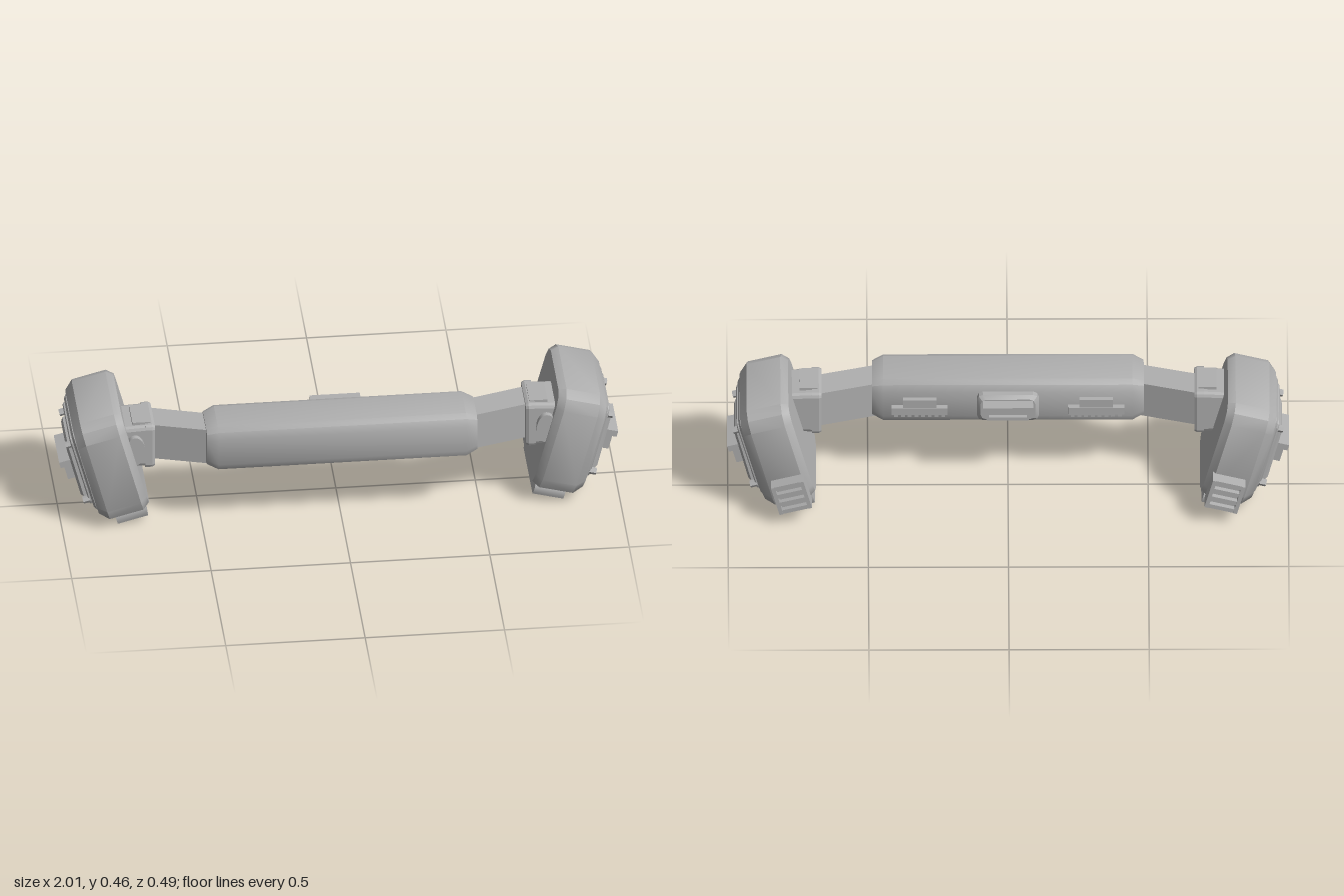
import * as THREE from 'three';
import { toCreasedNormals } from 'three/addons/utils/BufferGeometryUtils.js';

const grey = new THREE.MeshStandardMaterial({ color: 0xb0b0b0 });
grey.name = 'plain grey';

function add(parent, name, geometry, x = 0, y = 0, z = 0) {
  const mesh = new THREE.Mesh(geometry, grey);
  mesh.name = name;
  mesh.position.set(x, y, z);
  parent.add(mesh);
  return mesh;
}

const box = (w, h, d) => new THREE.BoxGeometry(w, h, d);

// Rectangle in the y-z plane at a given x, with two-step clipped corners
function ring(x, hy, hz, c) {
  const corner = [[hy, hz - c], [hy - 0.3 * c, hz - 0.3 * c], [hy - c, hz]];
  const flip = (sy, sz, list) => list.map(([y, z]) => [x, y * sy, z * sz]);
  const back = [...corner].reverse();
  return [...flip(1, 1, corner), ...flip(-1, 1, back), ...flip(-1, -1, corner), ...flip(1, -1, back)];
}

// Solid through cross-sections ordered along +x
function loft(rings, crease = 0.6) {
  const out = [], n = rings[0].length;
  const mid = r => [0, 1, 2].map(k => r.reduce((s, p) => s + p[k], 0) / n);
  const first = rings[0], last = rings[rings.length - 1];
  const m0 = mid(first), m1 = mid(last);
  for (let j = 0; j < n; j++) {
    const k = (j + 1) % n;
    for (let i = 0; i + 1 < rings.length; i++) {
      const a = rings[i][j], b = rings[i][k], c = rings[i + 1][k], d = rings[i + 1][j];
      out.push(...a, ...b, ...c, ...a, ...c, ...d);
    }
    out.push(...m0, ...first[k], ...first[j], ...m1, ...last[j], ...last[k]);
  }
  const g = new THREE.BufferGeometry();
  g.setAttribute('position', new THREE.Float32BufferAttribute(out, 3));
  return toCreasedNormals(g, crease);
}

// Plate with a small bevel on its +x face
const plate = (x0, x1, hy, hz, c, bevel = 0.008) => loft([
  ring(x0, hy, hz, c), ring(x1 - bevel, hy, hz, c), ring(x1, hy - bevel, hz - bevel, c)], 0.3);

// Trapezoid cross-section
const trap = (x, top, bottom, zt, zb) => [[x, top, -zt], [x, top, zt], [x, bottom, zb], [x, bottom, -zb]];

function createPod() {
  const pod = new THREE.Group();
  pod.name = 'pod';
  add(pod, 'podBody', loft([
    ring(-0.075, 0.192, 0.18, 0.05), ring(-0.05, 0.207, 0.202, 0.06),
    ring(0.075, 0.207, 0.202, 0.06), ring(0.107, 0.18, 0.182, 0.05)]));
  add(pod, 'podFoot', loft([ring(-0.058, 0.02, 0.157, 0.008), ring(0.055, 0.02, 0.157, 0.008)]), 0, -0.219, 0);
  // Stepped outer cover
  add(pod, 'coverPlate', plate(0.1, 0.119, 0.17, 0.152, 0.03));
  add(pod, 'coverInset', plate(0.115, 0.13, 0.148, 0.13, 0.02, 0.004));
  add(pod, 'latchBase', loft([
    trap(0.125, 0.103, -0.113, 0.095, 0.112), trap(0.143, 0.103, -0.113, 0.095, 0.112),
    trap(0.152, 0.09, -0.105, 0.087, 0.103)], 0.2));
  add(pod, 'latchShelf', box(0.052, 0.024, 0.184), 0.166, 0.028, 0);
  add(pod, 'latchBlock', box(0.035, 0.065, 0.155), 0.1625, -0.014, 0);
  for (const [y, z] of [[0.115, 0.109], [0.115, -0.109], [-0.122, 0.12], [-0.122, -0.12]]) {
    const bolt = new THREE.CylinderGeometry(0.013, 0.013, 0.025, 6).toNonIndexed();
    bolt.rotateZ(-Math.PI / 2);
    add(pod, 'bolt', toCreasedNormals(bolt, 0.3), 0.137, y, z);
  }
  // Rear panel and louvred vent
  const panel = plate(0, 0.033, 0.125, 0.045, 0.012).rotateY(Math.PI / 2);
  add(pod, 'rearPanel', panel.rotateY(Math.PI), 0, 0.032, -0.197);
  add(pod, 'ventBack', box(0.12, 0.12, 0.035), 0, -0.13, -0.212);
  for (const s of [-1, 1]) add(pod, 'ventSide', box(0.014, 0.12, 0.022), s * 0.053, -0.13, -0.239);
  for (let i = 0; i < 4; i++) add(pod, 'ventSlat', box(0.1, 0.016, 0.02), 0, -0.182 + i * 0.0347, -0.238);
  pod.position.set(0.807, 0.247, 0.005);
  pod.rotation.z = -THREE.MathUtils.degToRad(15);
  return pod;
}

function createSide() {
  const side = new THREE.Group();
  side.name = 'leftSide';
  side.add(createPod());
  // Angled arm from bar to bracket
  const arm = new THREE.Shape([[0.46, -0.075], [0.46, -0.19], [0.7, -0.122], [0.7, -0.005]]
    .map(p => new THREE.Vector2(...p)));
  const armGeo = new THREE.ExtrudeGeometry(arm, { depth: 0.14, bevelEnabled: false });
  add(side, 'arm', armGeo.rotateX(-Math.PI / 2), 0, 0.255, 0);
  // Bracket clasping the pod
  add(side, 'bracketFlange', loft([ring(0.665, 0.083, 0.085, 0.012), ring(0.675, 0.088, 0.09, 0.015),
    ring(0.7, 0.088, 0.09, 0.015)], 0.3), 0, 0.322, 0.075);
  add(side, 'bracket', loft([ring(0.69, 0.085, 0.085, 0.015), ring(0.79, 0.08, 0.085, 0.015)], 0.3), 0, 0.322, 0.075);
  add(side, 'bracketCap', box(0.065, 0.014, 0.12), 0.712, 0.408, 0.08);
  const knob = new THREE.CylinderGeometry(0.036, 0.036, 0.03, 24);
  knob.rotateX(Math.PI / 2).scale(1, 1.6, 1);
  add(side, 'bracketKnob', knob, 0.738, 0.317, 0.165);
  // Toothed rail on the back of the bar
  add(side, 'railStrip', box(0.2, 0.03, 0.026), 0.315, 0.315, 0.025);
  add(side, 'railPlate', box(0.12, 0.035, 0.02), 0.315, 0.345, 0.025);
  for (let i = 0; i < 8; i++) add(side, 'railTooth', box(0.014, 0.014, 0.02), 0.231 + i * 0.024, 0.296, 0.025);
  return side;
}

// Mirrored copy across x = 0 with corner order reversed
function mirrored(source) {
  const copy = new THREE.Group();
  copy.name = 'rightSide';
  source.updateMatrixWorld(true);
  source.traverse(m => {
    if (!m.isMesh) return;
    let g = m.geometry.clone().applyMatrix4(m.matrixWorld);
    if (g.index) g = g.toNonIndexed();
    for (const key of ['position', 'normal']) {
      const a = g.attributes[key], v = [0, 1, 2].map(() => new THREE.Vector3());
      for (let i = 0; i < a.count; i += 3) {
        v.forEach((p, k) => p.fromBufferAttribute(a, i + k));
        [0, 2, 1].forEach((k, n) => a.setXYZ(i + n, -v[k].x, v[k].y, v[k].z));
      }
    }
    add(copy, m.name, g);
  });
  return copy;
}

export function createModel() {
  const model = new THREE.Group();
  model.name = 'twinPodBar';
  // Central grip bar
  add(model, 'centralBar', loft([
    ring(-0.485, 0.07, 0.088, 0.03), ring(-0.445, 0.087, 0.104, 0.035),
    ring(0.445, 0.087, 0.104, 0.035), ring(0.485, 0.07, 0.088, 0.03)]), 0, 0.333, 0.137);
  // Centre control on the back of the bar
  const base = plate(0, 0.04, 0.055, 0.11, 0.02, 0.012).rotateY(Math.PI / 2);
  add(model, 'controlBase', base, 0, 0.333, 0.04);
  add(model, 'controlShelf', box(0.18, 0.018, 0.055), 0, 0.362, -0.017);
  add(model, 'controlLip', box(0.15, 0.012, 0.02), 0, 0.303, -0.006);
  for (const s of [-1, 1]) add(model, 'controlCheek', box(0.014, 0.055, 0.02), s * 0.075, 0.33, -0.006);
  const side = createSide();
  model.add(side, mirrored(side));
  return model;
}
